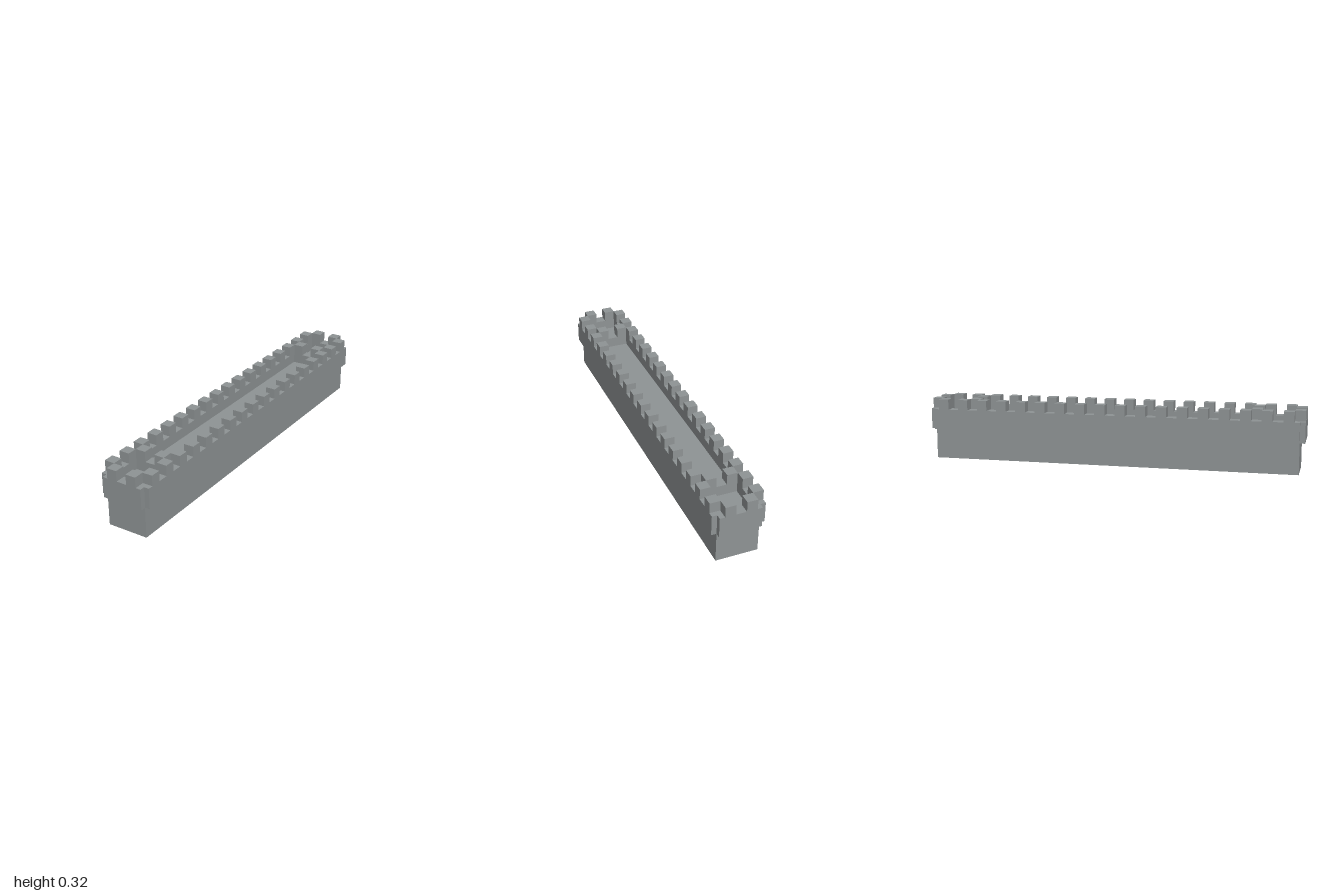
import * as THREE from 'three';

const U = 2 / 37; // one building block; all sizes below are in blocks

export function createModel() {
  const model = new THREE.Group();
  model.name = 'battlementWall';
  const material = new THREE.MeshStandardMaterial({ color: 0x8f9495, flatShading: true });

  // Box standing on height y, centred on x and z
  function addBox(name, w, h, d, x, y, z, parent = model) {
    const mesh = new THREE.Mesh(new THREE.BoxGeometry(w * U, h * U, d * U), material);
    mesh.position.set(x * U, (y + h / 2) * U, z * U);
    mesh.name = name;
    parent.add(mesh);
  }

  // Main wall, its top is the walkway floor
  addBox('wallBody', 4, 4, 36, 0, 0, 0);

  // Overhanging parapet ring with notched corners
  const outline = [[2.5, -18], [2.5, 18], [2, 18], [2, 18.5], [-2, 18.5], [-2, 18],
    [-2.5, 18], [-2.5, -18], [-2, -18], [-2, -18.5], [2, -18.5], [2, -18]];
  const inner = [[1.5, -17.5], [-1.5, -17.5], [-1.5, 17.5], [1.5, 17.5]];
  const toPoints = (list) => list.map(([x, z]) => new THREE.Vector2(x * U, z * U));
  const shape = new THREE.Shape(toPoints(outline));
  shape.holes.push(new THREE.Path(toPoints(inner)));
  const ring = new THREE.ExtrudeGeometry(shape, { depth: 2 * U, bevelEnabled: false });
  ring.rotateX(-Math.PI / 2);
  const parapet = new THREE.Mesh(ring, material);
  parapet.position.y = 3 * U;
  parapet.name = 'parapet';
  model.add(parapet);

  const merlons = new THREE.Group();
  merlons.name = 'merlons';
  model.add(merlons);

  // Merlons along both long sides
  for (const side of [-1, 1]) {
    for (let z = -17; z <= 17; z += 2) addBox('sideMerlon', 1, 1, 1, side * 2, 5, z, merlons);
  }

  // Cross walls near both ends, and merlons on them and on the end walls
  for (const end of [-1, 1]) {
    addBox('crossWall', 3, 1, 1, 0, 4, end * 14);
    for (const side of [-1, 1]) {
      addBox('crossWallMerlon', 1, 1, 1, side, 5, end * 14, merlons);
      addBox('endMerlon', 1, 1, 1, side, 5, end * 18, merlons);
    }
  }
  return model;
}
